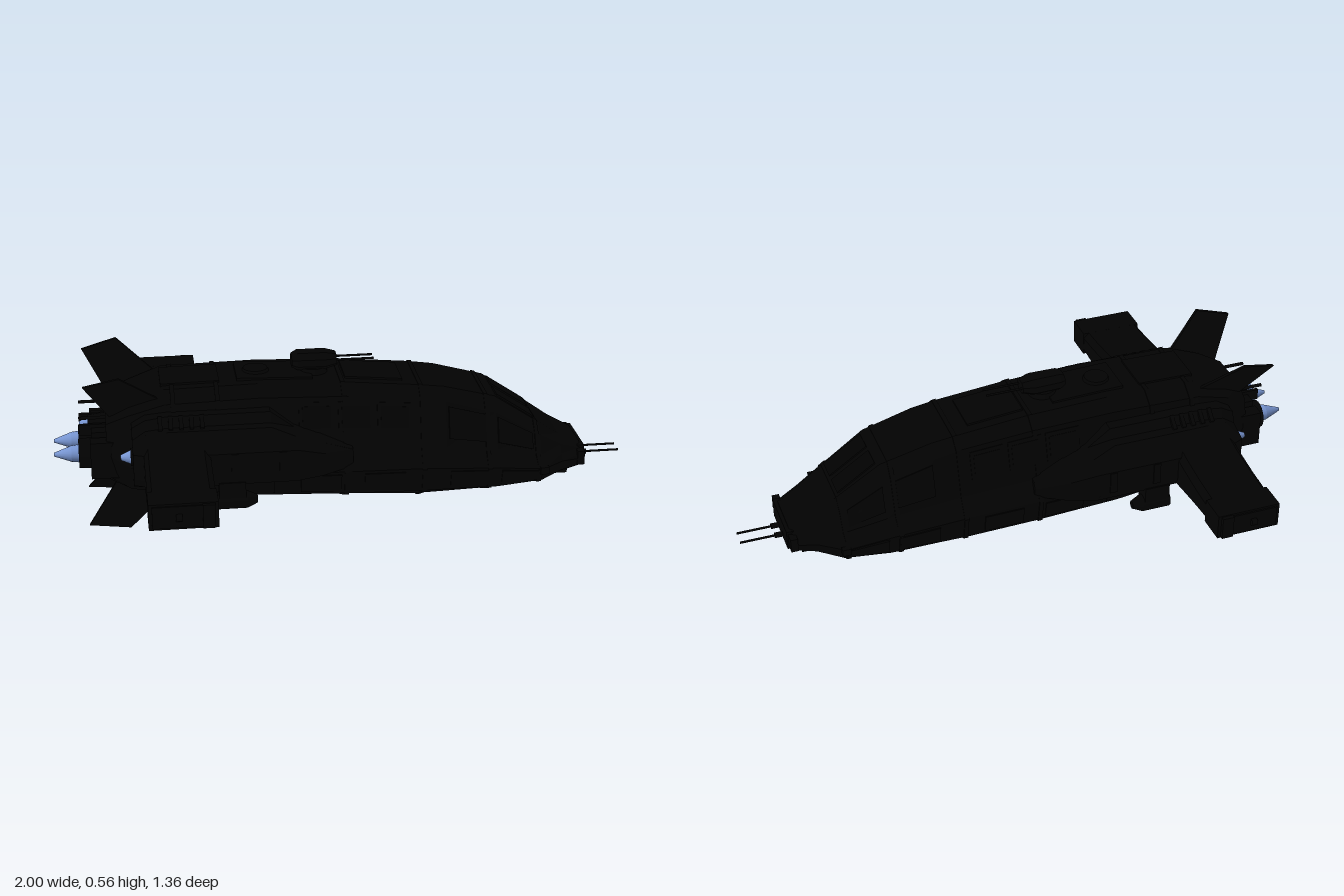
import * as THREE from 'three';

const mat = (name, color) => Object.assign(new THREE.MeshStandardMaterial({ color }), { name });

// Hull stations along x: [x, then six (y, halfWidth) pairs from keel to roof]
const STATIONS = [
  [-.82, .15, .08, .18, .13, .27, .15, .30, .15, .37, .13, .40, .08],
  [-.74, .115, .10, .15, .18, .24, .21, .30, .20, .41, .16, .44, .10],
  [-.62, .10, .10, .14, .20, .22, .23, .30, .22, .445, .165, .48, .115],
  [-.30, .075, .10, .12, .222, .20, .24, .28, .215, .452, .165, .485, .115],
  [0, .05, .10, .108, .225, .195, .24, .27, .207, .44, .16, .475, .115],
  [.25, .035, .10, .10, .222, .19, .238, .255, .20, .418, .155, .452, .115],
  [.34, .037, .10, .10, .22, .185, .237, .245, .197, .40, .152, .44, .113],
  [.52, .047, .10, .098, .217, .175, .235, .222, .187, .345, .145, .393, .108],
  [.68, .07, .10, .105, .20, .16, .23, .19, .175, .25, .14, .285, .10],
  [.76, .08, .09, .11, .14, .155, .163, .175, .145, .205, .125, .23, .09],
  [.84, .10, .07, .115, .11, .145, .125, .16, .115, .175, .10, .19, .07],
];

// Half cross-section of the hull at any x, as [y, halfWidth] pairs
function sectionAt(x) {
  let i = 0;
  while (i < STATIONS.length - 2 && x > STATIONS[i + 1][0]) i++;
  const a = STATIONS[i], b = STATIONS[i + 1], t = (x - a[0]) / (b[0] - a[0]);
  const v = (j) => a[j] + (b[j] - a[j]) * t;
  return [0, 1, 2, 3, 4, 5].map((k) => [v(1 + 2 * k), v(2 + 2 * k)]);
}

// Closed hull ring at x, pushed outward by grow
function hullRing(x, grow = 0) {
  const h = sectionAt(x), mid = (h[0][0] + h[5][0]) / 2;
  const half = h.map(([y, w]) => [y + Math.sign(y - mid) * grow, w + grow]);
  return [...half.map(([y, w]) => [x, y, w]), ...half.reverse().map(([y, w]) => [x, y, -w])];
}

// Point on the hull side; k runs 0 (keel) to 5 (roof edge)
function hullPoint(x, k, s) {
  const h = sectionAt(x), i = Math.min(4, Math.floor(k)), t = k - i;
  return new THREE.Vector3(x, h[i][0] + (h[i + 1][0] - h[i][0]) * t, s * (h[i][1] + (h[i + 1][1] - h[i][1]) * t));
}

// Faceted closed solid through rings of equal point count, always wound outward
function loft(rings) {
  const n = rings[0].length, m = rings.length, pos = rings.flat(), tris = [];
  for (let r = 0; r < m - 1; r++) for (let i = 0; i < n; i++) {
    const a = r * n + i, b = r * n + (i + 1) % n;
    tris.push([a, b, b + n], [a, b + n, a + n]);
  }
  for (let i = 1; i < n - 1; i++) {
    tris.push([0, i + 1, i]);
    const e = (m - 1) * n;
    tris.push([e, e + i, e + i + 1]);
  }
  const P = pos.map((p) => new THREE.Vector3(...p));
  const vol = tris.reduce((s, [a, b, c]) => s + P[a].dot(P[b].clone().cross(P[c])), 0);
  const flat = tris.flatMap(([a, b, c]) => (vol < 0 ? [a, c, b] : [a, b, c]).flatMap((i) => pos[i]));
  const g = new THREE.BufferGeometry();
  g.setAttribute('position', new THREE.Float32BufferAttribute(flat, 3));
  g.computeVertexNormals();
  return g;
}

export function createModel() {
  const root = new THREE.Group();
  root.name = 'gunship';
  const hull = mat('hullBlack', 0x020202), dark = mat('trimBlack', 0x010101), flame = mat('exhaustBlue', 0x7896d2);

  const add = (name, geo, m, x = 0, y = 0, z = 0) => {
    const o = new THREE.Mesh(geo, m);
    o.name = name;
    o.position.set(x, y, z);
    root.add(o);
    return o;
  };
  const box = (name, m, x, y, z, w, h, d) => add(name, new THREE.BoxGeometry(w, h, d), m, x, y, z);
  // Cylinder along x: r0 at the rear end, r1 at the front end
  const rod = (name, m, x0, x1, y, z, r0, r1 = r0, seg = 16) =>
    add(name, new THREE.CylinderGeometry(r0, r1, x1 - x0, seg).rotateZ(Math.PI / 2), m, (x0 + x1) / 2, y, z);
  // Thin raised plate following the hull side
  const plate = (name, m, x0, x1, k0, k1, s, d = .006) => {
    const c = [[x0, k0], [x1, k0], [x1, k1], [x0, k1]].map(([x, k]) => hullPoint(x, k, s));
    const n = c[2].clone().sub(c[0]).cross(c[3].clone().sub(c[1])).normalize();
    if (n.z * s < 0) n.negate();
    add(name, loft([-.003, d].map((o) => c.map((p) => p.clone().addScaledVector(n, o).toArray()))), m);
  };

  // Main hull and its raised frame bands
  add('hull', loft(STATIONS.map((s) => hullRing(s[0]))), hull);
  for (const x of [-.6, -.45, -.02, .25, .48, .66])
    add('hullBand', loft([hullRing(x, .003), hullRing(x + .015, .003)]), hull);

  // Roof panels, hatch and keel
  for (const [x, w] of [[-.53, .2], [-.24, .26], [.1, .2]]) {
    const p = box('roofPanel', hull, x, sectionAt(x)[5][0], 0, w, .014, .16);
    p.rotation.z = Math.atan2(sectionAt(x + .05)[5][0] - sectionAt(x - .05)[5][0], .1);
  }
  add('roofHatch', new THREE.CylinderGeometry(.042, .052, .022, 24), hull, -.3, .49, 0);
  box('keelSensor', hull, .4, .035, 0, .03, .025, .06);

  // Dorsal turret on its neck
  add('turretRing', new THREE.CylinderGeometry(.045, .05, .02, 20), hull, -.1, .488, 0);
  add('turretNeck', new THREE.CylinderGeometry(.028, .032, .03, 16), hull, -.1, .5, 0);
  const turret = [[-.175, .032, .7], [-.155, .044, 1], [-.06, .047, 1], [-.02, .032, .7]].map(([x, w, h]) =>
    [[-.03, .5], [-.012, 1], [.012, 1], [.03, .5], [.03, -.5], [.012, -1], [-.012, -1], [-.03, -.5]]
      .map(([y, k]) => [x, .521 + y * h, w * k]));
  add('turretHead', loft(turret), hull);

  for (const s of [1, -1]) {
    rod('turretBarrel', hull, -.03, .11, .521, s * .018, .004, .004, 8);

    // Side windows, cockpit panes and lower armour plates
    for (const x of [-.17, -.035, .1]) {
      plate('windowFrame', hull, x, x + .12, 3.32, 3.9, s, .004);
      plate('sideWindow', dark, x + .012, x + .108, 3.4, 3.82, s);
    }
    plate('cockpitPane', dark, .35, .48, 3.2, 3.9, s);
    plate('cockpitPane', dark, .525, .65, 3.2, 3.9, s);
    for (const x of [-.4, -.17, .05, .35, .53]) plate('lowerArmour', hull, x, x + .14, 1.12, 1.88, s, .004);
    const pane = [[.53, .012], [.53, .09], [.665, .09], [.665, .012]];
    add('windscreen', loft([-.003, .005].map((o) => pane.map(([x, z]) => [x + o * .5, sectionAt(x)[5][0] + o, s * z]))), dark);

    // Engine nacelle: stepped shoulder aft, dropping below the windows at the front
    // Each entry: x, outer width, shoulder height, shoulder width, top height
    const nacelle = [[-.735, .295, .345, .23, .385], [-.69, .315, .375, .25, .41], [-.62, .325, .383, .258, .42],
      [-.47, .33, .383, .26, .42], [-.27, .33, .383, .26, .42], [-.19, .33, .35, .27, .36],
      [-.1, .3, .315, .25, .325], [.01, .235, .27, .222, .275]]
      .map(([x, o, sy, sz, ty]) =>
        [[.2, .12], [.175, .215], [.205, o - .02], [.235, o], [Math.min(.325, sy - .02), o], [sy, sz], [sy + .002, .225], [ty, .21], [ty + .005, .12]]
          .map(([y, z]) => [x, y, s * z]));
    add('nacelle', loft(nacelle), hull);
    for (const x of [-.4, -.24]) box('nacelleRib', hull, x, .283, s * .329, .025, .08, .01);
    rod('nacelleNozzle', hull, -.742, -.7, .29, s * .23, .03, .036);
    rod('nacelleFlame', flame, -.775, -.735, .29, s * .23, .009, .026);
    // Cooling louvres above the nacelle
    for (let i = 0; i < 5; i++) {
      const l = box('louvre', hull, -.64 + i * .035, .402, s * .225, .014, .012, .05);
      l.rotation.x = s * .7;
    }

    // Wing with squared tip
    const wing = [[.2, .18, .375], [.29, .19, .343], [.36, .2, .329], [.46, .212, .316], [.57, .222, .308]].map(([z, b, t]) =>
      [[-.7, b + .015], [-.685, b], [-.5, b], [-.48, b + .02], [-.48, t - .02], [-.5, t], [-.685, t], [-.7, t - .015]]
        .map(([x, y]) => [x, y, s * z]));
    add('wing', loft(wing), hull);
    box('wingTip', hull, -.59, .265, s * .608, .222, .088, .1);
    box('wingTipCap', hull, -.59, .265, s * .658, .2, .074, .012);
    rod('tipLamp', hull, -.615, -.595, .265, s * .668, .012, .012, 10);
    box('tipBracket', hull, -.51, .265, s * .664, .04, .08, .014);

    // Pod slung under the nacelle
    rod('podBody', hull, -.46, -.36, .143, s * .297, .03);
    rod('podNose', hull, -.36, -.325, .143, s * .297, .03, .014);
    box('podPylon', hull, -.41, .18, s * .293, .09, .07, .058);

    // Tail fins: outline (x, y) with z following the cant
    const fin = (name, pts) => add(name, loft([-.006, .006].map((o) => pts.map(([x, y, z]) => [x, y, s * (z + o)]))), hull);
    fin('upperFin', [[-.89, .53, .185], [-.77, .56, .2], [-.62, .44, .12], [-.8, .38, .1]]);
    fin('lowerFin', [[-.89, .015, .158], [-.75, 0, .163], [-.59, .13, .11], [-.79, .15, .1]]);

    // Main engines and the side plates of the upper booster
    rod('engineNozzle', hull, -.915, -.78, .24, s * .06, .05, .06, 20);
    rod('mainFlameBase', flame, -.94, -.905, .24, s * .06, .028, .032);
    rod('mainFlame', flame, -1, -.94, .24, s * .06, .006, .028);
    box('engineFairing', hull, -.81, .25, s * .135, .13, .13, .05);
    rod('tailProbe', hull, -.91, -.7, .375, s * .075, .006, .006, 8);
    box('boosterShroud', hull, -.853, .322, s * .05, .116, .04, .012);

    // Nose guns and chin details
    rod('noseGun', hull, .83, 1, .127, s * .027, .004, .004, 8);
    rod('gunSleeve', hull, .82, .88, .127, s * .027, .01, .01, 10);
    box('noseBracket', hull, .835, .15, s * .115, .025, .05, .04);
    box('noseSensor', hull, .68, .155, s * .228, .03, .025, .02);
    box('chinBlock', hull, .77, .085, s * .06, .06, .025, .04);
  }

  // Upper booster and centre tail
  rod('boosterNozzle', hull, -.88, -.78, .325, 0, .03, .04, 16);
  rod('boosterFlame', flame, -.91, -.87, .325, 0, .008, .024);
  box('engineBlock', hull, -.82, .25, 0, .1, .16, .2);
  box('nosePlate', hull, .84, .15, 0, .025, .07, .2);

  return root;
}
